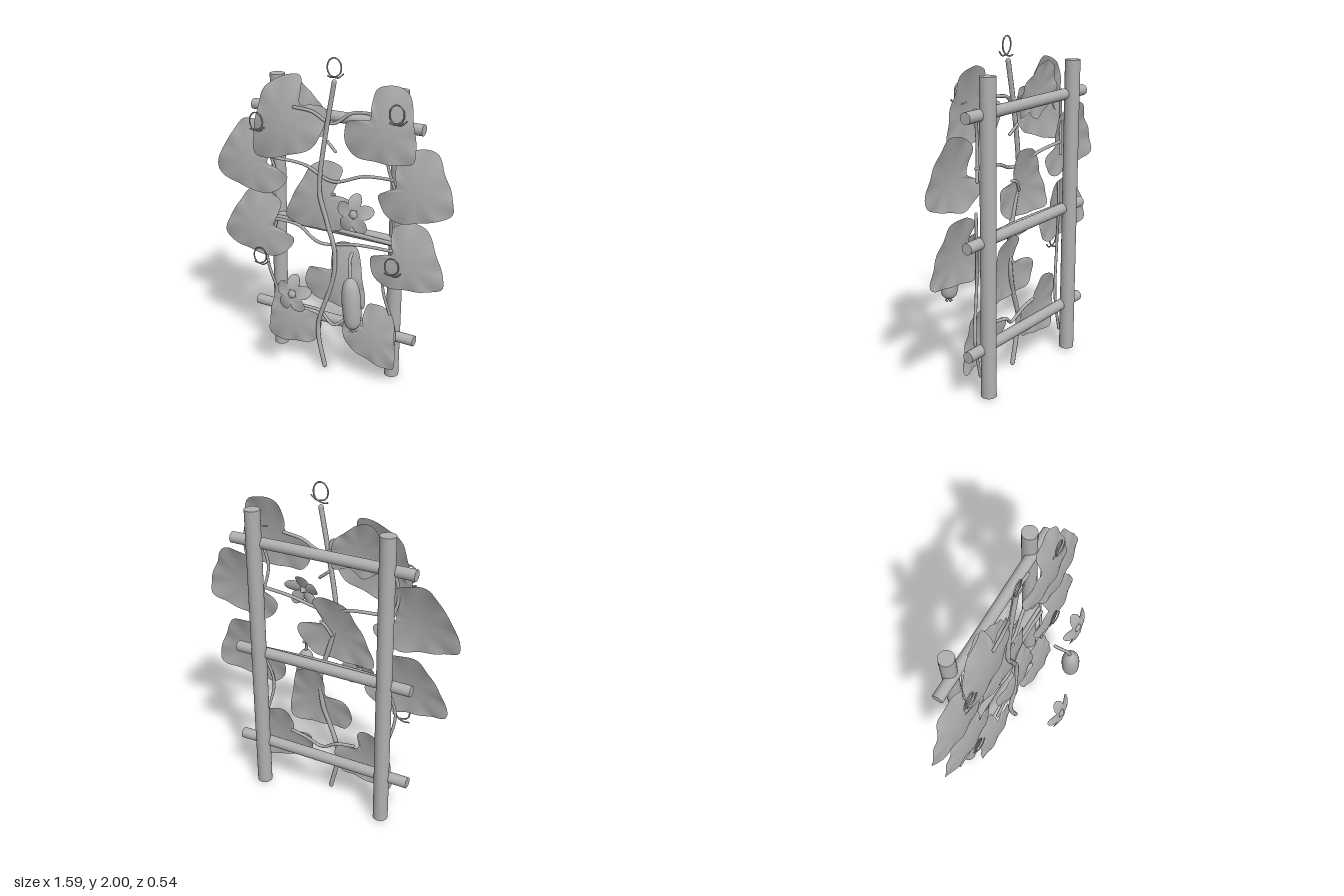
import * as THREE from 'three';

const grey = new THREE.MeshStandardMaterial({ color: 0xb0b0b0, side: THREE.DoubleSide });
grey.name = 'plain grey';

const V = (p) => new THREE.Vector3(...p);

function add(parent, name, geometry, x = 0, y = 0, z = 0) {
  const mesh = new THREE.Mesh(geometry, grey);
  mesh.name = name;
  mesh.position.set(x, y, z);
  parent.add(mesh);
  return mesh;
}

// Round stem through a few points, closed with a small ball at both ends
function stem(parent, name, points, radius, segments = 48) {
  const curve = new THREE.CatmullRomCurve3(points.map(V));
  const group = new THREE.Group();
  group.name = name;
  parent.add(group);
  add(group, name + 'Stalk', new THREE.TubeGeometry(curve, segments, radius, 8));
  for (const p of [points[0], points[points.length - 1]])
    add(group, name + 'End', new THREE.SphereGeometry(radius, 8, 6), ...p);
}

// Half of the heart outline: share of the way to the tip, share of the lobe's width
const halfHeart = [[-0.1, 0.25], [-0.2, 0.63], [0, 1.02], [0.31, 1.18], [0.58, 0.84], [0.83, 0.47]];

// Heart-shaped leaf spanned by its notch, tip and two lobes, domed towards the middle
function leafGeometry(z0, nx, ny, tx, ty, ax, ay, bx, by) {
  const at = (u, v, lx, ly) =>
    new THREE.Vector3(nx + u * (tx - nx) + v * (lx - nx), ny + u * (ty - ny) + v * (ly - ny), 0);
  const outline = [
    at(0, 0, ax, ay),
    ...halfHeart.map(([u, v]) => at(u, v, ax, ay)),
    at(1, 0, ax, ay),
    ...halfHeart.map(([u, v]) => at(u, v, bx, by)).reverse(),
  ];
  if (THREE.ShapeUtils.area(outline) < 0) outline.reverse();
  const n = 72, rings = 9;
  const edge = new THREE.CatmullRomCurve3(outline, true).getSpacedPoints(n).slice(0, n);
  const mid = new THREE.Vector3();
  edge.forEach((p) => mid.addScaledVector(p, 1 / n));
  const pos = [], index = [];
  for (let r = 0; r <= rings; r++) {
    const t = r / rings;
    for (let i = 0; i < n; i++) {
      const dx = (edge[i].x - mid.x) * t, dy = (edge[i].y - mid.y) * t;
      const dome = 0.018 - 0.5 * (dx * dx + dy * dy);
      const fold = 0.005 * t ** 4 * Math.sin((i / n) * Math.PI * 18);
      pos.push(mid.x + dx, mid.y + dy, z0 + dome + fold - 0.13 * dy);
      if (r < rings) {
        const a = r * n + i, b = r * n + ((i + 1) % n);
        index.push(a, a + n, b + n, a, b + n, b);
      }
    }
  }
  const g = new THREE.BufferGeometry();
  g.setAttribute('position', new THREE.Float32BufferAttribute(pos, 3));
  g.setIndex(index);
  g.computeVertexNormals();
  // the innermost ring is a single point, so it shares one normal
  for (let i = 0; i < n; i++) g.attributes.normal.setXYZ(i, 0, 0.13, 0.992);
  return g;
}

// Five shallow petals round a button centre, with a small calyx behind
function flower(parent, x, y, z) {
  const group = new THREE.Group();
  group.name = 'flower';
  group.position.set(x, y, z);
  group.rotation.x = -0.22;
  parent.add(group);
  for (let k = 0; k < 5; k++) {
    const g = new THREE.SphereGeometry(1, 20, 12);
    g.scale(0.041, 0.049, 0.005);
    g.translate(0, 0.068, 0);
    const p = g.attributes.position;
    for (let i = 0; i < p.count; i++) {
      const px = p.getX(i), py = p.getY(i);
      p.setZ(i, p.getZ(i) - 1.9 * py * py + 4 * px * px);
    }
    g.computeVertexNormals();
    g.rotateZ((k * Math.PI * 2) / 5);
    add(group, 'petal', g);
  }
  add(group, 'flowerCentre', new THREE.SphereGeometry(0.024, 16, 10), 0, 0, 0.002).scale.z = 0.5;
  const calyx = new THREE.ConeGeometry(0.02, 0.03, 10);
  calyx.rotateX(-Math.PI / 2);
  add(group, 'calyx', calyx, 0, 0, -0.017);
}

// Curled tendril: one ring with a loose tail on each side of its foot
function tendril(parent, x, y, z) {
  const points = [[x - 0.045, y - 0.055, z], [x - 0.02, y - 0.06, z]];
  for (let i = 0; i <= 12; i++) {
    const a = -1.1 + (i / 12) * 5.8;
    points.push([x + 0.042 * Math.cos(a), y + 0.052 * Math.sin(a), z + 0.015 * (i / 12)]);
  }
  points.push([x + 0.03, y - 0.054, z + 0.015], [x + 0.06, y - 0.03, z + 0.012]);
  stem(parent, 'tendril', points, 0.0045, 70);
}

export function createModel() {
  const model = new THREE.Group();
  model.name = 'climbingVineOnTrellis';

  // Trellis
  for (const x of [-0.4, 0.41])
    add(model, 'post', new THREE.CylinderGeometry(0.045, 0.045, 1.82, 24), x, 0.92, -0.225);
  for (const y of [0.3, 0.93, 1.63]) {
    const g = new THREE.CylinderGeometry(0.033, 0.033, 1.12, 20);
    g.rotateZ(Math.PI / 2);
    add(model, 'rail', g, 0.005, y, -0.2);
  }

  // Main vine
  stem(model, 'mainVine', [
    [0.003, 0.012, -0.095], [-0.04, 0.2, -0.095], [-0.045, 0.31, -0.1], [0.01, 0.49, -0.1],
    [0.045, 0.6, -0.11], [0.06, 0.81, -0.11], [0.01, 1.0, -0.105], [-0.04, 1.18, -0.1],
    [-0.035, 1.31, -0.1], [0.008, 1.6, -0.1], [0.056, 1.86, -0.095],
  ], 0.0145, 90);

  // Side branches: left end, low joint at the main vine, right end
  for (const [x0, y0, z0, xm, ym, x1, y1] of [
    [-0.165, 0.385, -0.125, 0.05, 0.31, 0.245, 0.385],
    [-0.4, 0.93, -0.145, -0.05, 0.85, 0.42, 0.89],
    [-0.4, 1.33, -0.145, 0.04, 1.26, 0.41, 1.33],
    [-0.2, 1.685, -0.08, 0.03, 1.61, 0.26, 1.695],
  ]) {
    stem(model, 'branch', [
      [x0, y0, z0], [(x0 + xm) / 2, y0 - 0.012, z0 - 0.01], [xm, ym, -0.12],
      [(xm + x1) / 2, y1 - 0.015, -0.15], [x1, y1, -0.145],
    ], 0.01);
  }
  stem(model, 'branch', [[-0.4, 0.94, -0.165], [0, 0.942, -0.158], [0.42, 0.93, -0.16]], 0.013);

  // Thin vines weaving along both posts
  for (const x of [-0.4, 0.41]) {
    stem(model, 'thinVine', [
      [x + 0.01, 0.12, -0.172], [x + 0.04, 0.34, -0.16], [x - 0.03, 0.68, -0.12],
      [x + 0.02, 0.93, -0.16], [x + 0.01, 1.08, -0.15],
    ], 0.009);
    stem(model, 'thinVine', [[x + 0.01, 1.26, -0.16], [x - 0.03, 1.46, -0.13], [x + 0.01, 1.65, -0.15]], 0.009);
  }
  // Short leaf stalks
  stem(model, 'leafStalk', [[0, 1.5, -0.12], [0.06, 1.45, -0.11]], 0.009, 8);
  stem(model, 'leafStalk', [[-0.02, 1.11, -0.12], [0.02, 1.17, -0.13], [0.05, 1.18, -0.12]], 0.009, 12);

  // Leaves: depth, notch, tip, upper lobe, lower lobe
  for (const leaf of [
    [-0.09, -0.17, 1.7, -0.48, 1.35, -0.31, 1.84, -0.02, 1.58],
    [-0.135, -0.12, 1.55, -0.25, 1.84, -0.3, 1.56, -0.02, 1.6],
    [-0.09, 0.29, 1.68, 0.56, 1.47, 0.4, 1.87, 0.13, 1.55],
    [-0.12, -0.41, 1.3, -0.79, 1.2, -0.48, 1.53, -0.32, 1.16],
    [-0.115, -0.37, 0.9, -0.74, 0.77, -0.44, 1.1, -0.27, 0.76],
    [-0.12, 0.45, 1.3, 0.79, 1.2, 0.54, 1.52, 0.37, 1.15],
    [-0.115, 0.44, 0.89, 0.76, 0.74, 0.52, 1.08, 0.31, 0.75],
    [-0.13, 0.04, 1.18, -0.29, 0.97, -0.01, 1.36, 0.17, 1.05],
    [-0.125, 0.03, 0.69, 0.26, 0.48, 0.11, 0.87, -0.15, 0.58],
    [-0.115, -0.19, 0.37, -0.4, 0.13, -0.29, 0.52, -0.04, 0.26],
    [-0.115, 0.25, 0.36, 0.47, 0.12, 0.36, 0.51, 0.12, 0.29],
  ]) add(model, 'leaf', leafGeometry(...leaf));

  // Curled tendrils
  for (const [x, y] of [[0.06, 1.944], [-0.46, 1.565], [0.455, 1.735], [0.455, 0.825], [-0.455, 0.69]])
    tendril(model, x, y, y > 1.9 ? -0.095 : -0.08);

  // Flowers
  flower(model, 0.317, 1.205, 0.15);
  flower(model, -0.02, 0.675, 0.255);

  // Hanging fruit with its hooked stalk and withered tip
  const fruit = new THREE.Group();
  fruit.name = 'fruit';
  fruit.position.set(0.308, 0.645, 0.137);
  fruit.rotation.z = 0.08;
  model.add(fruit);
  const profile = new THREE.SplineCurve([
    [0, -0.16], [0.03, -0.151], [0.048, -0.12], [0.055, -0.04], [0.055, 0.05],
    [0.046, 0.11], [0.03, 0.143], [0.012, 0.159], [0, 0.161],
  ].map(([r, y]) => new THREE.Vector2(r, y)));
  add(fruit, 'fruitBody', new THREE.LatheGeometry(profile.getPoints(32), 24));
  for (let k = 0; k < 5; k++) {
    const a = (k * Math.PI * 2) / 5;
    stem(fruit, 'fruitTip', [[0, -0.152, 0], [0.018 * Math.cos(a), -0.172, 0.018 * Math.sin(a)]], 0.006, 4);
  }
  stem(model, 'fruitStalk', [[0.296, 0.79, 0.135], [0.285, 0.85, 0.12], [0.268, 0.89, 0.09], [0.258, 0.913, 0.045]], 0.01, 24);

  return model;
}
